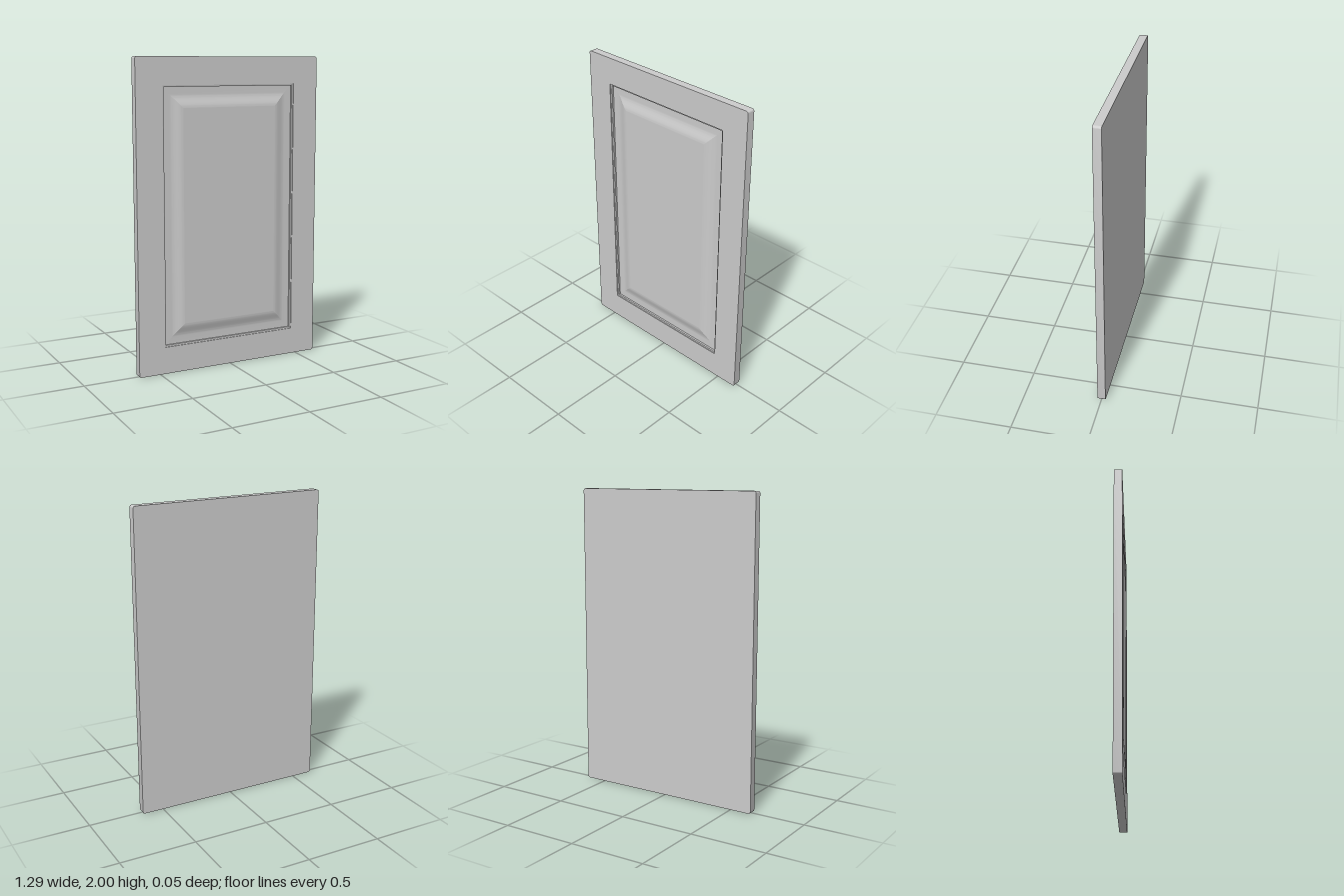
import * as THREE from 'three';
import { mergeGeometries, toCreasedNormals } from 'three/addons/utils/BufferGeometryUtils.js';

const W = 0.643, H = 1, T = 0.0265;    // half width, half height, half thickness
const OPEN_W = 0.466, OPEN_H = 0.825;  // half size of the panel opening
const CORNER = 0.014;

// Lofts a strip of quads through rows of points, all rows the same length
function strip(rows, crease) {
  const n = rows[0].length, index = [];
  for (let r = 0; r < rows.length - 1; r++) {
    for (let i = 0; i < n - 1; i++) {
      const a = r * n + i, b = a + 1, c = a + n, d = c + 1;
      index.push(a, b, d, a, d, c);
    }
  }
  const g = new THREE.BufferGeometry();
  g.setAttribute('position', new THREE.Float32BufferAttribute(rows.flat(2), 3));
  g.setIndex(index);
  return toCreasedNormals(g, crease);
}

function doorOutline() {
  const s = new THREE.Shape(), x = W - CORNER, y = H - CORNER, q = Math.PI / 2;
  [[x, y], [-x, y], [-x, -y], [x, -y]].forEach(([cx, cy], i) =>
    s.absarc(cx, cy, CORNER, i * q, (i + 1) * q, false));
  s.closePath();
  return s;
}

// Section through the panel, from the frame inwards: [inset, depth below the face]
function panelProfile() {
  const floor = 0.02, start = 0.055, width = 0.085, steps = 14;
  const p = [[0, 0], [0, 0.006], [0.01, 0.008], [0.01, floor]];
  for (let i = 0; i <= steps; i++) {
    const t = i / steps;
    p.push([start + width * t, floor * (1 - t * t * (3 - 2 * t))]);
  }
  return p;
}

export function createModel() {
  const door = new THREE.Group();
  door.name = 'cabinetDoor';
  const material = new THREE.MeshStandardMaterial({ color: 0xcccccc });
  const add = (name, geometry) => {
    const mesh = new THREE.Mesh(geometry, material);
    mesh.name = name;
    mesh.position.y = H;
    door.add(mesh);
    return mesh;
  };

  // Flat frame around the opening
  const frame = doorOutline();
  frame.holes.push(new THREE.Path([
    [-OPEN_W, -OPEN_H], [-OPEN_W, OPEN_H], [OPEN_W, OPEN_H], [OPEN_W, -OPEN_H],
  ].map(([x, y]) => new THREE.Vector2(x, y))));
  add('frontFrame', new THREE.ShapeGeometry(frame, 8).translate(0, 0, T));

  // Plain back
  add('back', new THREE.ShapeGeometry(doorOutline(), 8).rotateY(Math.PI).translate(0, 0, -T));

  // Outer edge with rounded corners
  const outline = doorOutline().getPoints(8);
  if (!outline[0].equals(outline[outline.length - 1])) outline.push(outline[0]);
  add('outerEdge', strip([-T, T].map(z => outline.map(p => [p.x, p.y, z])), 0.5));

  // Stepped groove and curved bevel, four mitred sides
  const profile = panelProfile();
  const corners = [[-1, -1], [1, -1], [1, 1], [-1, 1]];
  const sides = corners.map((a, i) => {
    const b = corners[(i + 1) % 4];
    return strip(profile.map(([inset, depth]) => [a, b].map(([sx, sy]) =>
      [sx * (OPEN_W - inset), sy * (OPEN_H - inset), T - depth])), 0.5);
  });
  add('panelMoulding', mergeGeometries(sides));

  // Raised flat centre
  const [inset, depth] = profile[profile.length - 1];
  add('raisedField', new THREE.PlaneGeometry(2 * (OPEN_W - inset), 2 * (OPEN_H - inset))
    .translate(0, 0, T - depth));

  return door;
}
